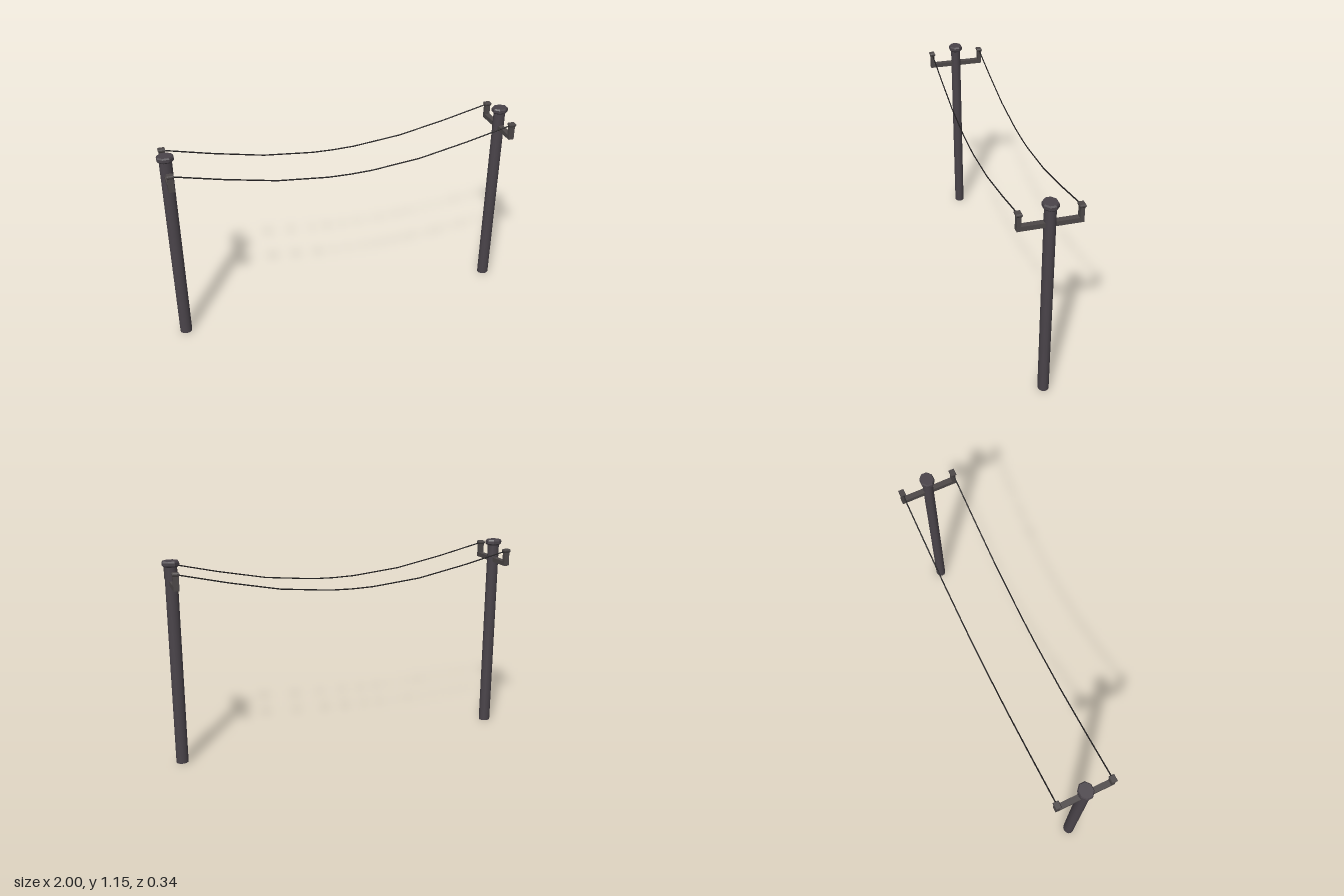
import * as THREE from 'three';

const SPAN = 0.956; // pole distance from the centre
const REACH = 0.152; // wire distance from the pole axis

const poleMat = new THREE.MeshStandardMaterial({ name: 'dark pole', color: 0x4a444a });
const capMat = new THREE.MeshStandardMaterial({ name: 'dark pole cap', color: 0x4a444a, flatShading: true });
const armMat = new THREE.MeshStandardMaterial({ name: 'dark bracket', color: 0x4d4848, flatShading: true });
const wireMat = new THREE.MeshStandardMaterial({ name: 'black wire', color: 0x1f1d1e });

function add(parent, name, geometry, material, x = 0, y = 0, z = 0) {
  const mesh = new THREE.Mesh(geometry, material);
  mesh.name = name;
  mesh.position.set(x, y, z);
  parent.add(mesh);
  return mesh;
}

// Bevelled cap from [radius, height] pairs, with a flat side facing x and flattened along z
function bevelledCap(profile, sides, depth) {
  const points = profile.map(([r, y]) => new THREE.Vector2(r, y));
  return new THREE.LatheGeometry(points, sides, Math.PI / 2 + Math.PI / sides).scale(1, 1, depth);
}

function createPole() {
  const pole = new THREE.Group();
  pole.name = 'pole';

  const shaft = new THREE.CylinderGeometry(0.034, 0.034, 1.12, 12).scale(1, 1, 0.86);
  add(pole, 'shaft', shaft, poleMat, 0, 0.56, 0);
  add(pole, 'poleCap', bevelledCap([
    [0, 1.116], [0.039, 1.116], [0.0475, 1.124], [0.0475, 1.14], [0.042, 1.148], [0, 1.148],
  ], 8, 0.86), capMat);

  // Crossarm with an upright and a bevelled square cap at each end
  add(pole, 'crossarm', new THREE.BoxGeometry(0.031, 0.025, 0.326), armMat, 0, 1.031, 0);
  for (const side of [-1, 1]) {
    const z = side * REACH;
    add(pole, 'upright', new THREE.BoxGeometry(0.031, 0.062, 0.021), armMat, 0, 1.073, z);
    add(pole, 'uprightCap', bevelledCap([
      [0, 1.095], [0.021, 1.095], [0.0275, 1.103], [0.0275, 1.109], [0.023, 1.115], [0, 1.115],
    ], 4, 0.81), armMat, 0, 0, z);
  }
  return pole;
}

// Sagging wire, mirrored about the middle of the span
function createWire() {
  const half = [[SPAN, 1.104], [0.686, 1.041], [0.405, 0.985], [0.125, 0.957]];
  const points = [
    ...half.map(([x, y]) => new THREE.Vector3(-x, y, 0)),
    new THREE.Vector3(0, 0.954, 0),
    ...half.map(([x, y]) => new THREE.Vector3(x, y, 0)).reverse(),
  ];
  const path = new THREE.CurvePath();
  for (let i = 1; i < points.length; i++) path.add(new THREE.LineCurve3(points[i - 1], points[i]));
  return new THREE.TubeGeometry(path, 48, 0.0036, 6);
}

export function createModel() {
  const model = new THREE.Group();
  model.name = 'powerLine';
  for (const side of [-1, 1]) {
    const pole = createPole();
    pole.name = side > 0 ? 'leftPole' : 'rightPole';
    pole.position.x = side * SPAN;
    model.add(pole);
    add(model, side > 0 ? 'frontWire' : 'backWire', createWire(), wireMat, 0, 0, side * REACH);
  }
  return model;
}
